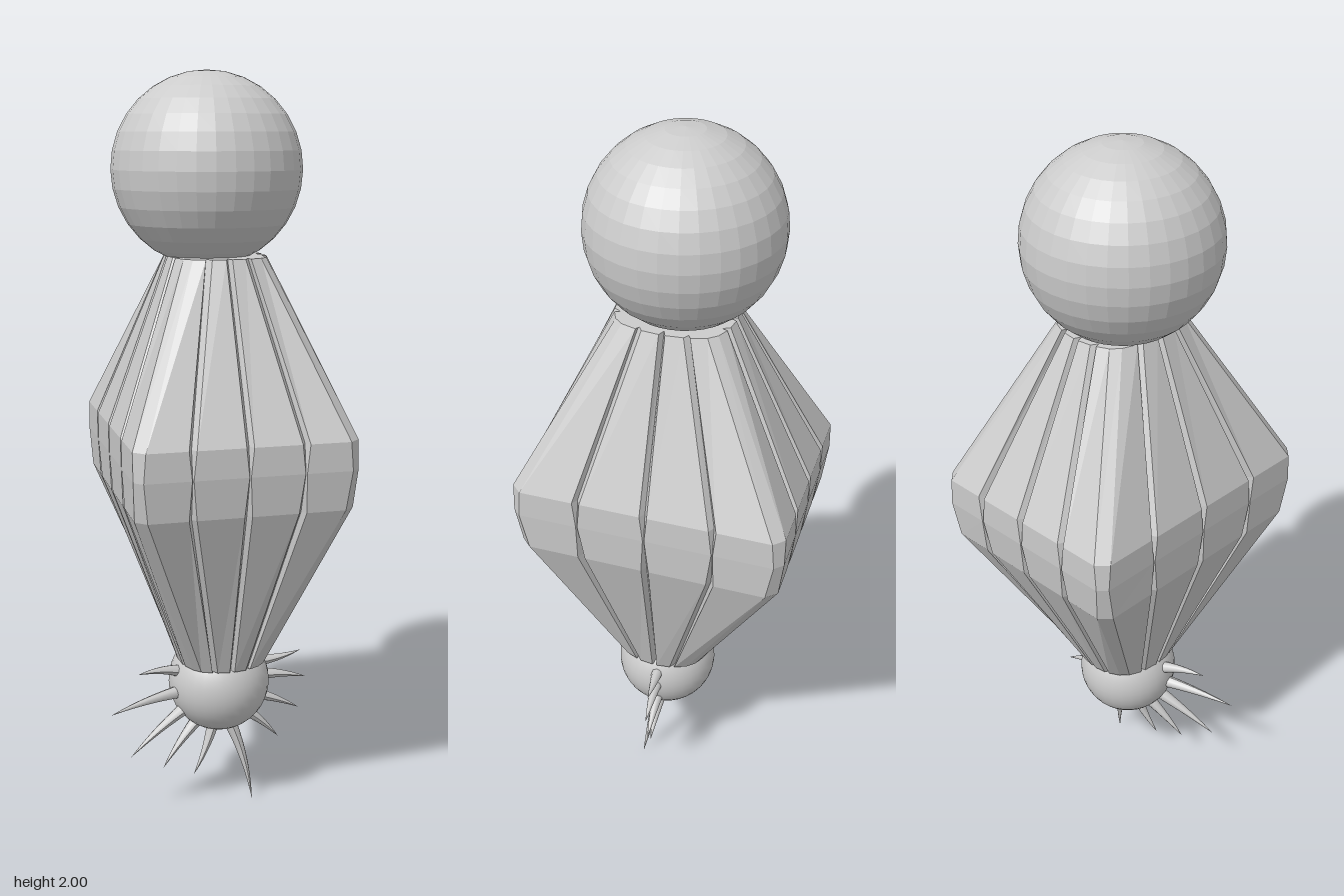
import * as THREE from 'three';

const smooth = new THREE.MeshStandardMaterial({ color: 0xcccccc });
const flat = new THREE.MeshStandardMaterial({ color: 0xcccccc, flatShading: true });

function addMesh(parent, name, geometry, material, x = 0, y = 0, z = 0) {
  const mesh = new THREE.Mesh(geometry, material);
  mesh.name = name;
  mesh.position.set(x, y, z);
  parent.add(mesh);
  return mesh;
}

// One cross-section: a slightly turned rectangle, eased toward an ellipse by
// `round`, with chamfered corners and three V grooves on each side.
function section({ y, cx, cz, hx, hz, round, groove, depth, chamfer }) {
  const ring = [];
  for (let side = 0; side < 4; side++) {
    const half = side % 2 ? hz : hx, across = side % 2 ? hx : hz;
    const w = groove / half, c = chamfer / half, d = depth / across;
    const line = [[-1 + c, 0]];
    for (const s of [-0.5, 0, 0.5]) line.push([s - w, 0], [s, d], [s + w, 0]);
    line.push([1 - c, 0]);
    for (const [s, inset] of line) {
      let u = s, v = -1 + inset;
      for (let k = 0; k < side; k++) [u, v] = [-v, u];
      const p = THREE.MathUtils.lerp(u, u * Math.sqrt(1 - v * v / 2), round);
      const q = THREE.MathUtils.lerp(v, v * Math.sqrt(1 - u * u / 2), round);
      ring.push(new THREE.Vector3(cx + hx * (p - 0.07 * q), y, cz + hz * (q + 0.025 * p)));
    }
  }
  return ring;
}

// Skin the sections and close both ends
function loft(rings) {
  const n = rings[0].length, pos = [];
  const tri = (...pts) => pts.forEach(p => pos.push(p.x, p.y, p.z));
  const centre = ring => ring.reduce((a, p) => a.add(p), new THREE.Vector3()).divideScalar(n);
  const low = rings[0], high = rings[rings.length - 1];
  const lowMid = centre(low), highMid = centre(high);
  for (let j = 0; j < n; j++) {
    const k = (j + 1) % n;
    for (let i = 0; i < rings.length - 1; i++) {
      const a = rings[i], b = rings[i + 1];
      tri(a[j], b[j], a[k]);
      tri(a[k], b[j], b[k]);
    }
    tri(lowMid, low[j], low[k]);
    tri(highMid, high[k], high[j]);
  }
  const g = new THREE.BufferGeometry();
  g.setAttribute('position', new THREE.Float32BufferAttribute(pos, 3));
  g.computeVertexNormals();
  return g;
}

// Curved spike: a tube whose rings shrink toward the tip
function spikeGeometry(base, bend, tip, radius) {
  const curve = new THREE.QuadraticBezierCurve3(base, bend, tip);
  const steps = 10, sides = 8;
  const g = new THREE.TubeGeometry(curve, steps, radius, sides);
  const p = g.attributes.position, v = new THREE.Vector3();
  for (let i = 0; i < p.count; i++) {
    const t = Math.floor(i / (sides + 1)) / steps;
    const c = curve.getPointAt(t);
    v.fromBufferAttribute(p, i).sub(c).multiplyScalar(Math.pow(1 - t, 0.9)).add(c);
    p.setXYZ(i, v.x, v.y, v.z);
  }
  g.computeVertexNormals();
  return g;
}

export function createModel() {
  const model = new THREE.Group();
  model.name = 'spikedLantern';

  // Faceted ball on top
  addMesh(model, 'topBall', new THREE.SphereGeometry(0.25, 32, 16), flat, -0.01, 1.75, -0.02);

  // Grooved body, widest around the waist
  const waist = { cx: 0.008, cz: -0.003, round: 0 };
  const body = [
    { y: 0.425, cx: 0.015, cz: 0.025, hx: 0.122, hz: 0.135, round: 0.85, groove: 0.009, depth: 0.018, chamfer: 0.015 },
    { ...waist, y: 0.91, hx: 0.285, hz: 0.35, groove: 0.01, depth: 0.018, chamfer: 0.028 },
    { ...waist, y: 1.015, hx: 0.291, hz: 0.364, groove: 0.002, depth: 0.005, chamfer: 0.022 },
    { ...waist, y: 1.09, hx: 0.291, hz: 0.364, groove: 0.01, depth: 0.018, chamfer: 0.028 },
    { y: 1.53, cx: 0.008, cz: -0.005, hx: 0.13, hz: 0.155, round: 0.7, groove: 0.01, depth: 0.02, chamfer: 0.017 },
  ];
  addMesh(model, 'groovedBody', loft(body.map(section)), flat);

  // Smooth ball underneath
  const hub = new THREE.Vector3(0.01, 0.355, 0.025);
  addMesh(model, 'bottomBall', new THREE.SphereGeometry(0.14, 32, 20), smooth, hub.x, hub.y, hub.z);

  // Fan of spikes: base x, y, then tip x, y, z, then sideways bend
  const spikes = new THREE.Group();
  spikes.name = 'spikes';
  model.add(spikes);
  [
    [-0.11, 0.40, -0.235, 0.415, 0.08, -0.015],
    [-0.115, 0.34, -0.318, 0.323, 0.115, -0.012],
    [-0.10, 0.285, -0.262, 0.188, 0.1, -0.01],
    [-0.06, 0.24, -0.165, 0.132, 0.075, -0.008],
    [-0.01, 0.225, -0.075, 0.095, 0.065, 0.012],
    [0.035, 0.23, 0.092, 0.004, 0.08, 0.02],
    [0.085, 0.25, 0.185, 0.162, 0.03, 0.01],
    [0.115, 0.295, 0.25, 0.238, 0.02, 0.01],
    [0.14, 0.355, 0.272, 0.328, 0.018, 0.01],
    [0.125, 0.40, 0.255, 0.41, 0.015, -0.012],
  ].forEach(([bx, by, tx, ty, tz, bend], i) => {
    const bz = hub.z + (tz - hub.z) * 0.3;
    const base = new THREE.Vector3(bx, by, bz).lerp(hub, 0.1);
    const tip = new THREE.Vector3(tx, ty, tz);
    const mid = base.clone().lerp(tip, 0.5);
    const dir = tip.clone().sub(base).normalize();
    mid.x -= dir.y * bend;
    mid.y += dir.x * bend;
    addMesh(spikes, `spike${i + 1}`, spikeGeometry(base, mid, tip, 0.019), smooth);
  });

  return model;
}
